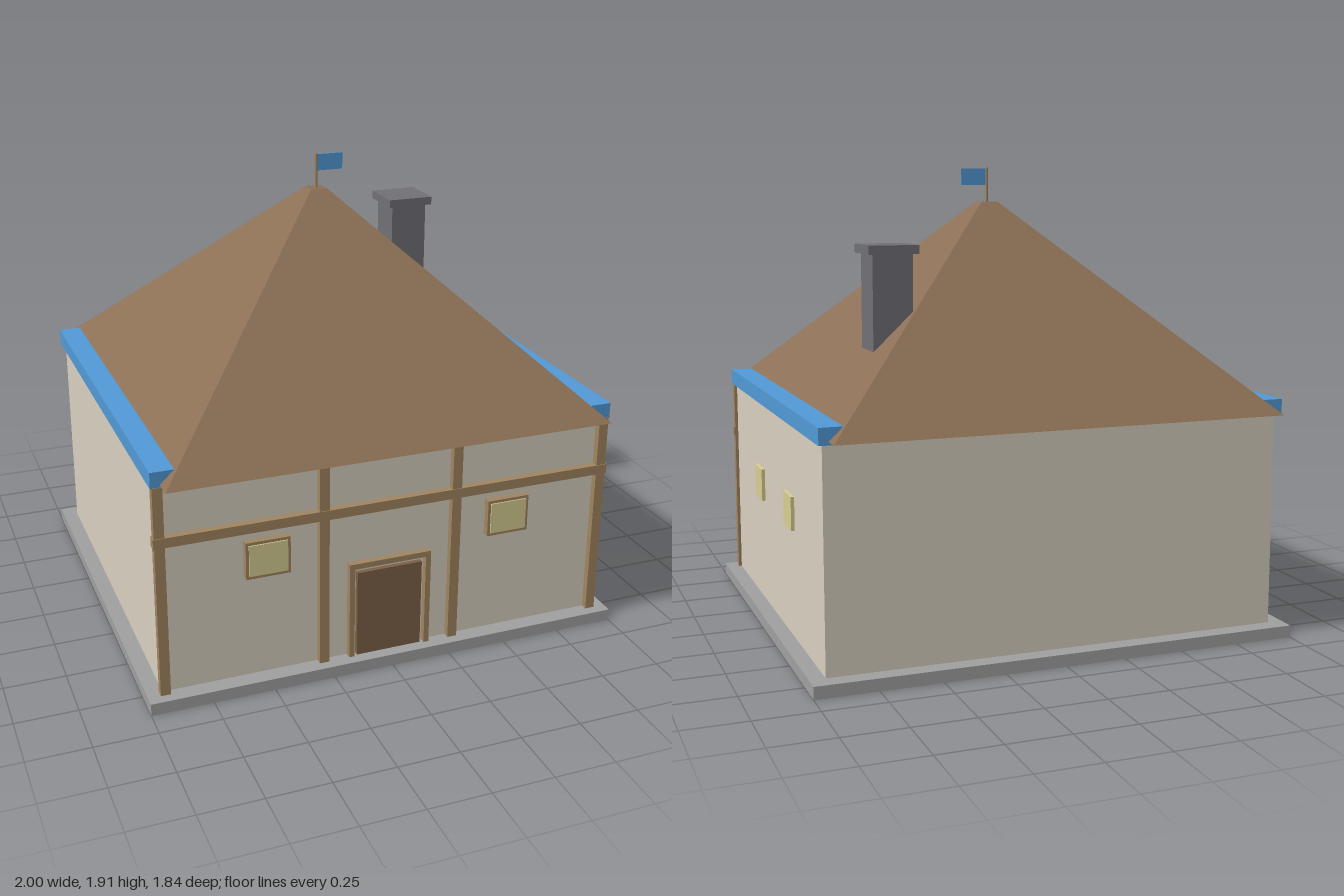
import * as THREE from 'three';

const paint = (color) => new THREE.MeshStandardMaterial({ color, flatShading: true });

export function createModel() {
  const house = new THREE.Group();
  house.name = 'house';

  const plaster = paint(0xd8d0c0), wood = paint(0xa08560), doorWood = paint(0x7c6048);
  const tiles = paint(0x8b6f55), blue = paint(0x5299d6), glass = paint(0xd8cf92);
  const stone = paint(0xa0a0a0), brick = paint(0x707076);

  const add = (name, geometry, material) => {
    const mesh = new THREE.Mesh(geometry, material);
    mesh.name = name;
    house.add(mesh);
    return mesh;
  };
  // Box given by its limits along x, y and z
  const box = (name, material, [x0, x1], [y0, y1], [z0, z1]) => {
    const geometry = new THREE.BoxGeometry(x1 - x0, y1 - y0, z1 - z0);
    geometry.translate((x0 + x1) / 2, (y0 + y1) / 2, (z0 + z1) / 2);
    return add(name, geometry, material);
  };
  const rectangle = (Type, x, y) => new Type([
    new THREE.Vector2(-x, -y), new THREE.Vector2(x, -y),
    new THREE.Vector2(x, y), new THREE.Vector2(-x, y),
  ]);

  // Stone plinth around the foot of the walls
  const ring = rectangle(THREE.Shape, 1, 0.885);
  ring.holes.push(rectangle(THREE.Path, 0.937, 0.815));
  const plinth = new THREE.ExtrudeGeometry(ring, { depth: 0.05, bevelEnabled: false });
  add('plinth', plinth.rotateX(-Math.PI / 2), stone);

  box('walls', plaster, [-0.937, 0.937], [0, 0.93], [-0.815, 0.815]);

  // Blue eaves slab, showing past the roof on both sides
  box('eaves', blue, [-0.955, 0.955], [0.922, 0.988], [-0.84, 0.84]);

  // Four-sided roof with a small flat top
  const roof = new THREE.CylinderGeometry(0.035 * Math.SQRT2, 0.918 * Math.SQRT2, 0.835, 4);
  roof.rotateY(Math.PI / 4).translate(0, 1.3525, 0);
  add('roof', roof, tiles);

  // Timber framing on the front
  for (const x of [-0.93, -0.28, 0.28, 0.93]) {
    box('timberPost', wood, [x - 0.02, x + 0.02], [0.05, 0.925], [0.81, 0.843]);
  }
  box('timberBeam', wood, [-0.955, 0.955], [0.68, 0.72], [0.81, 0.846]);

  // Door with its frame
  box('door', doorWood, [-0.138, 0.138], [0.05, 0.42], [0.81, 0.835]);
  for (const x of [-0.163, 0.163]) {
    box('doorPost', wood, [x - 0.011, x + 0.011], [0.05, 0.465], [0.81, 0.843]);
  }
  box('doorLintel', wood, [-0.174, 0.174], [0.442, 0.465], [0.81, 0.843]);

  // Front windows, framed
  for (const x of [-0.51, 0.51]) {
    box('windowFrame', wood, [x - 0.09, x + 0.09], [0.485, 0.64], [0.81, 0.845]);
    box('windowPane', glass, [x - 0.078, x + 0.078], [0.498, 0.628], [0.81, 0.85]);
  }

  // Plain windows on the left side wall
  for (const z of [-0.28, 0.28]) {
    box('sideWindow', glass, [0.93, 0.951], [0.495, 0.632], [z - 0.069, z + 0.069]);
  }

  // Chimney
  box('chimney', brick, [0.475, 0.637], [1.15, 1.58], [-0.453, -0.29]);
  box('chimneyCap', brick, [0.455, 0.658], [1.577, 1.612], [-0.475, -0.272]);

  // Flag on the roof top
  const pole = new THREE.CylinderGeometry(0.007, 0.007, 0.16, 8);
  add('flagPole', pole.translate(0, 1.832, 0), wood);
  box('flag', blue, [0.003, 0.115], [1.84, 1.908], [-0.003, 0.003]);

  return house;
}
